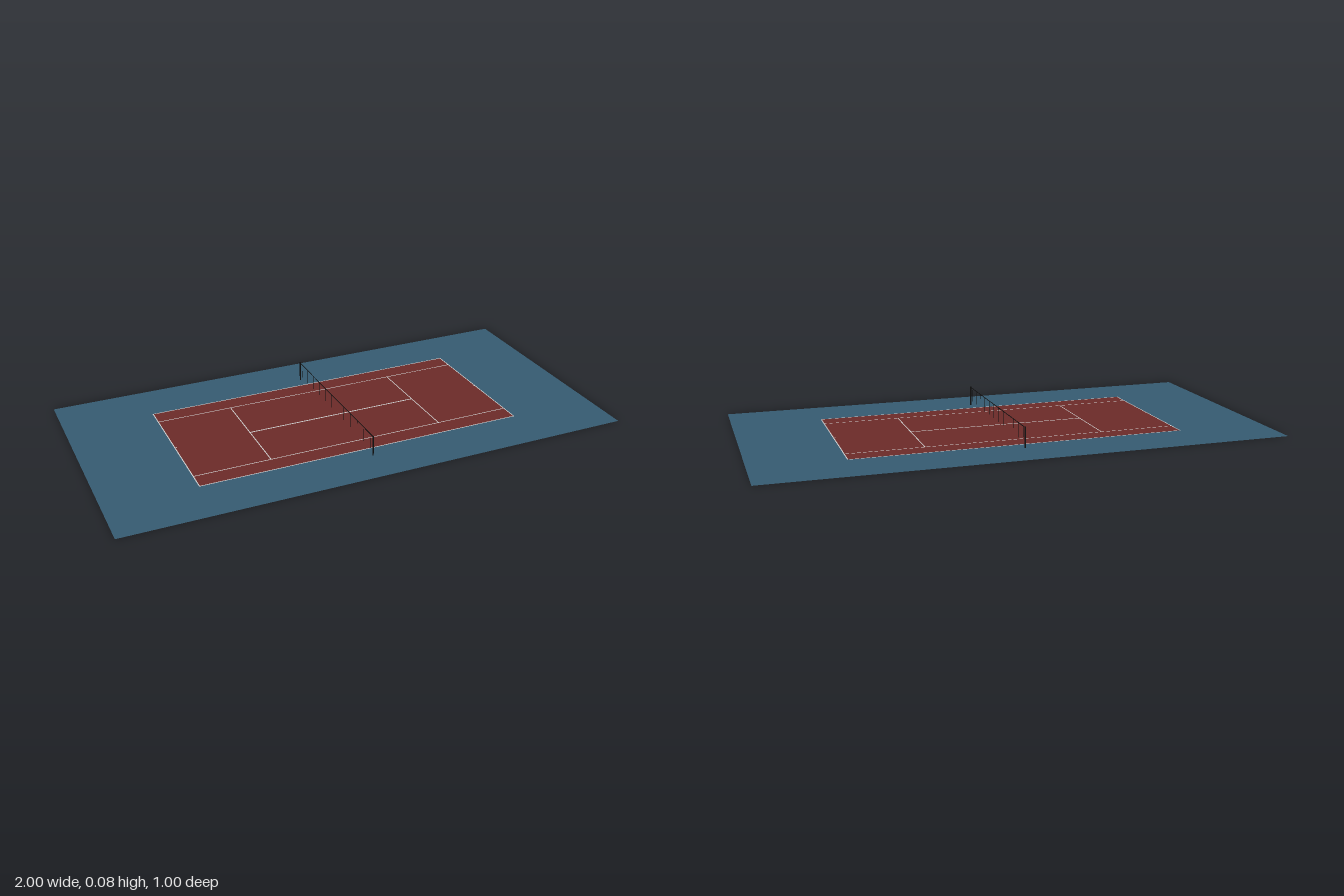
import * as THREE from 'three';

const paint = (color) => new THREE.MeshStandardMaterial({ color, side: THREE.DoubleSide });

// Half sizes of the court markings and the stroke width
const END = 0.65, SIDE = 0.3, SINGLES = 0.225, SERVICE = 0.35, W = 0.004;
const NET_X = 0.005, NET_TOP = 0.077;

export function createModel() {
  const model = new THREE.Group();
  const blue = paint(0x355a70), red = paint(0x6b2a28), white = paint(0xcccccc), black = paint(0x0c0c0c);

  const add = (name, geometry, material, x = 0, y = 0, z = 0) => {
    const mesh = new THREE.Mesh(geometry, material);
    mesh.name = name;
    mesh.position.set(x, y, z);
    model.add(mesh);
    return mesh;
  };
  // Flat rectangle on the ground between two corners
  const flat = (name, material, x0, x1, z0, z1, y = 0) =>
    add(name, new THREE.PlaneGeometry(Math.abs(x1 - x0), Math.abs(z1 - z0)).rotateX(-Math.PI / 2),
      material, (x0 + x1) / 2, y, (z0 + z1) / 2);
  const rod = (length, radius, sides) => new THREE.CylinderGeometry(radius, radius, length, sides);

  // Surround with an opening for the court
  const rectangle = (path, a, b) =>
    path.moveTo(-a, -b).lineTo(a, -b).lineTo(a, b).lineTo(-a, b).closePath();
  const surround = rectangle(new THREE.Shape(), 1, 0.5);
  surround.holes.push(rectangle(new THREE.Path(), END, SIDE));
  add('surround', new THREE.ShapeGeometry(surround).rotateX(-Math.PI / 2), blue);

  const h = W / 2, c = 0.003;
  for (const s of [-1, 1]) {
    // Red panels, fitted between the lines
    flat('doublesAlley', red, -END + W, END - W, s * (SINGLES + h), s * (SIDE - W));
    flat('backcourt', red, s * (SERVICE + h), s * (END - W), -SINGLES + h, SINGLES - h);
    flat('serviceCourt', red, -SERVICE + h, SERVICE - h, s * c, s * (SINGLES - h));

    // White lines
    flat('doublesSideline', white, -END, END, s * (SIDE - W), s * SIDE);
    flat('singlesSideline', white, -END + W, END - W, s * (SINGLES - h), s * (SINGLES + h));
    flat('baseline', white, s * (END - W), s * END, -SIDE + W, SIDE - W);
    flat('serviceLine', white, s * (SERVICE - h), s * (SERVICE + h), -SINGLES + h, SINGLES - h);
    flat('centreMark', white, s * (END - W - 0.006), s * (END - W), -c, c, 0.0004);

    // Net posts
    add('netPost', rod(0.08, 0.0026, 12), black, NET_X, 0.04, s * 0.35);
  }
  flat('centreServiceLine', white, -SERVICE + h, SERVICE - h, -c, c);

  // Winder on the back post
  add('netWinder', new THREE.BoxGeometry(0.004, 0.025, 0.004), black, NET_X, 0.065, -0.347);

  // Top cord with hanging strands
  add('netCord', rod(0.7, 0.0014, 8).rotateX(Math.PI / 2), black, NET_X, NET_TOP, 0);
  const strand = rod(NET_TOP - 0.02, 0.0007, 6);
  for (let i = 0; i < 12; i++) {
    add('netStrand', strand, black, NET_X, (NET_TOP + 0.02) / 2, -0.33 + i * 0.06);
  }
  return model;
}
